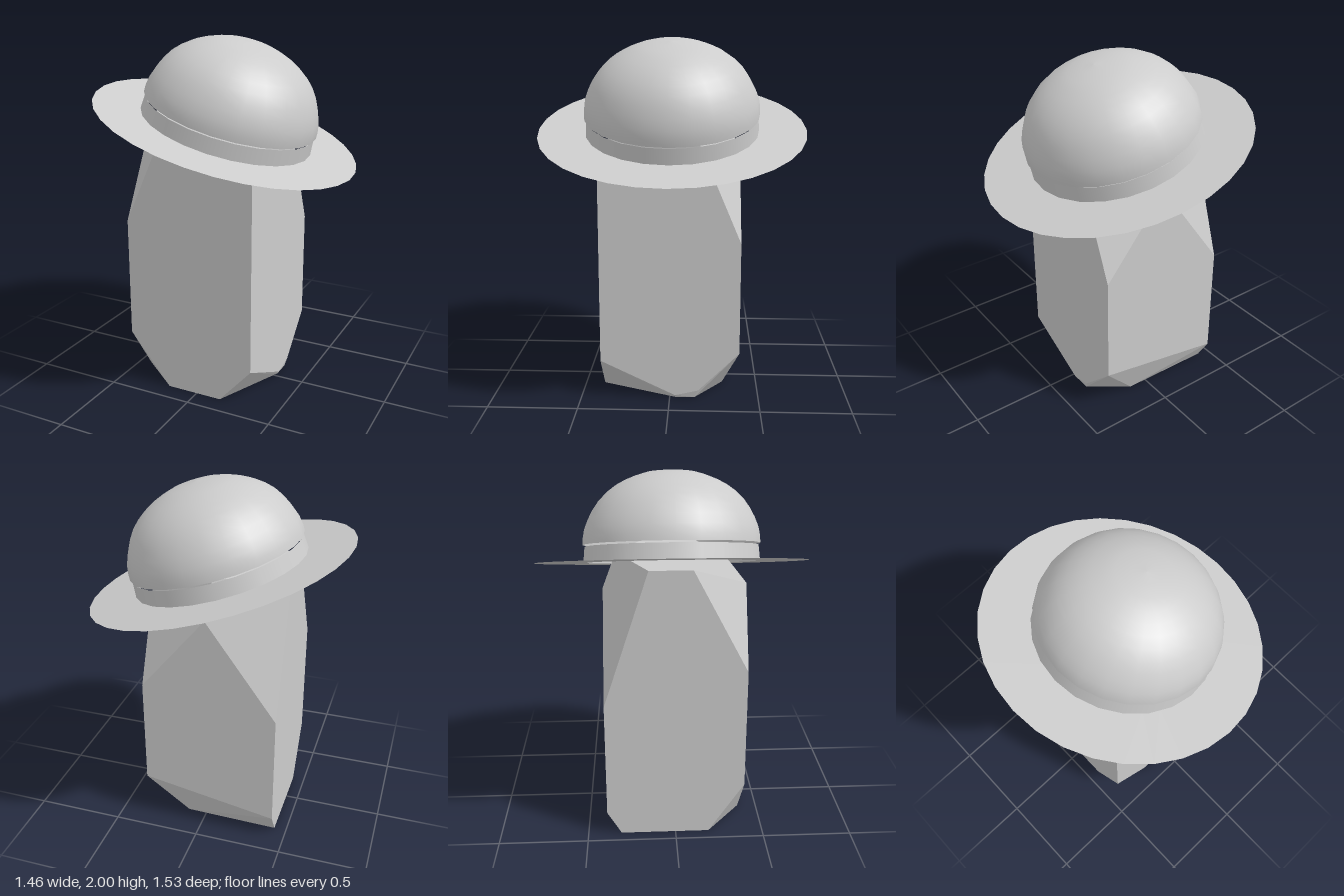
import * as THREE from 'three';
import { ConvexGeometry } from 'three/addons/geometries/ConvexGeometry.js';

export function createModel() {
  const model = new THREE.Group();
  const grey = new THREE.MeshStandardMaterial({ color: 0xcccccc, side: THREE.DoubleSide });
  grey.name = 'light grey';

  const add = (parent, name, geometry) => {
    const mesh = new THREE.Mesh(geometry, grey);
    mesh.name = name;
    parent.add(mesh);
    return mesh;
  };

  // Body: a tall block with every corner sliced off at its own angle
  const L = -0.43, R = 0.34, F = 0.39, B = -0.39, T = 1.56;
  const corners = [
    // bottom face
    [-0.18, 0, F], [0.15, 0, F], [0.33, 0, -0.03], [0.33, 0, -0.14],
    [0.11, 0, -0.3], [L, 0, -0.31], [L, 0, 0.19],
    // lower ends of the upright edges
    [L, 0.3, F], [R, 0.215, F], [R, 0.27, B], [L, 0.135, B],
    [R, 0.015, -0.03], [R, 0.045, -0.16],
    // upper ends of the upright edges
    [L, 0.99, F], [R, 1.32, F], [R, 0.9, B], [L, 0.8, B],
    // points where neighbouring cuts meet on the front and back
    [-0.23, 1.43, F], [-0.03, 1.353, B],
    // top face
    [L, T, 0.09], [-0.25, T, 0.29], [R, T, 0.11],
    [R, T, -0.11], [-0.05, T, -0.313], [L, T, -0.14],
  ];
  add(model, 'body', new ConvexGeometry(corners.map((p) => new THREE.Vector3(...p))));

  // Hat: tilted down towards +x
  const hat = new THREE.Group();
  hat.name = 'hat';
  hat.position.set(0, 1.488, 0);
  hat.rotation.z = -0.287;
  model.add(hat);

  const lathe = (points, sides) =>
    new THREE.LatheGeometry(points.map(([r, y]) => new THREE.Vector2(r, y)), sides);

  // Flat brim, an open ring
  const brim = new THREE.RingGeometry(0.475, 0.763, 32);
  brim.rotateX(-Math.PI / 2);
  add(hat, 'brim', brim);

  // Band standing on the brim
  add(hat, 'hatBand', lathe([[0.494, 0.0], [0.486, 0.088]], 24));

  // Rounded crown, just clear of the band
  const crownCurve = new THREE.SplineCurve([
    [0.496, 0.098], [0.49, 0.17], [0.455, 0.26], [0.4, 0.345],
    [0.32, 0.415], [0.23, 0.462], [0.13, 0.494], [0, 0.506],
  ].map((p) => new THREE.Vector2(...p)));
  add(hat, 'crown', new THREE.LatheGeometry(crownCurve.getPoints(12), 24));

  return model;
}
